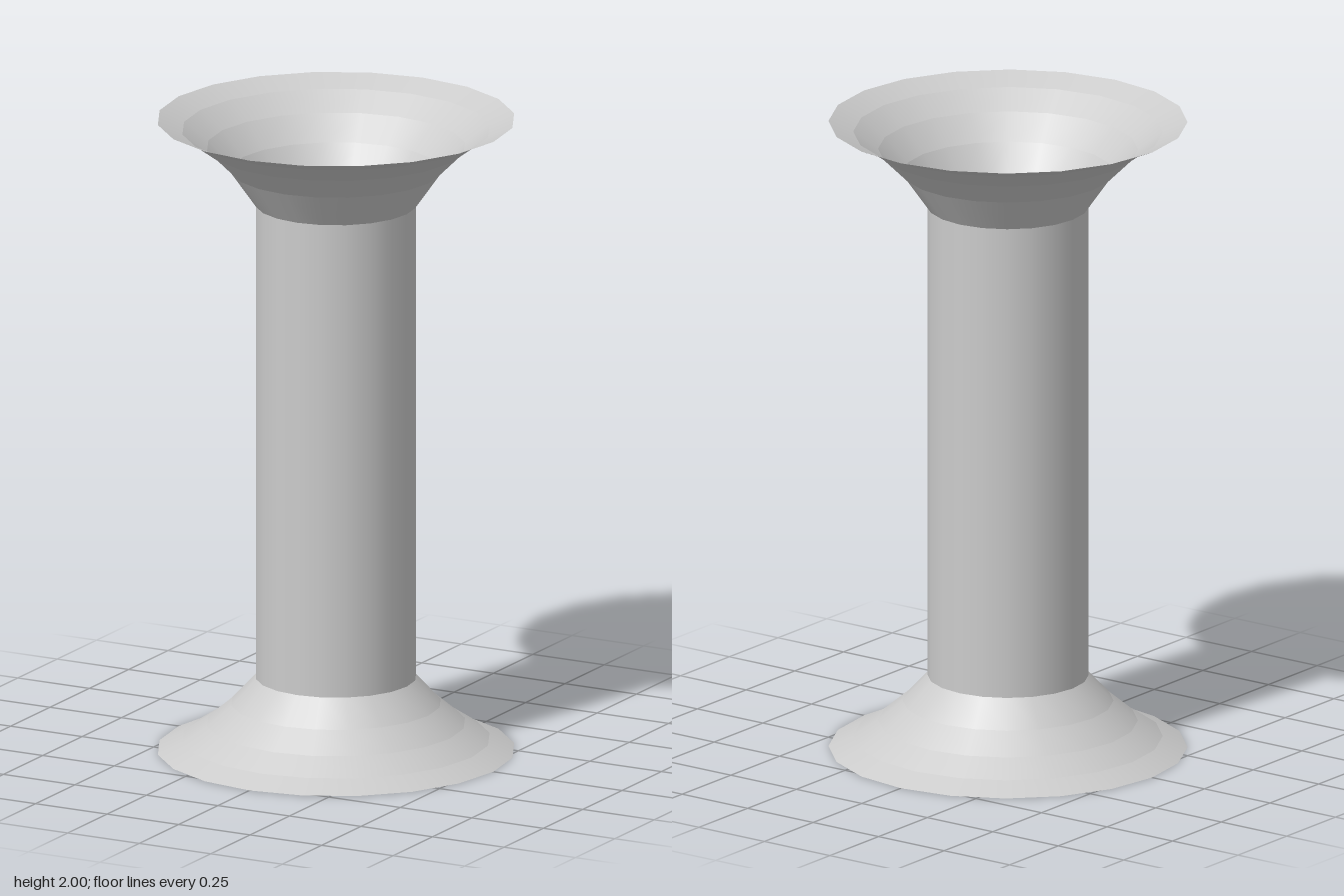
import * as THREE from 'three';
import { mergeGeometries } from 'three/addons/utils/BufferGeometryUtils.js';

const SIDES = 20;

// Thin surface of revolution: smooth around, with a crease between the rings
function turned(name, profile, material) {
  const bands = [];
  for (let i = 0; i < profile.length - 1; i++) {
    const ends = [profile[i], profile[i + 1]].map(([r, y]) => new THREE.Vector2(r, y));
    bands.push(new THREE.LatheGeometry(ends, SIDES));
  }
  const mesh = new THREE.Mesh(mergeGeometries(bands), material);
  mesh.name = name;
  return mesh;
}

export function createModel() {
  const group = new THREE.Group();
  group.name = 'flaredSpool';
  const material = new THREE.MeshStandardMaterial({ color: 0xcccccc, side: THREE.DoubleSide });

  // Lower flare, open through the middle
  group.add(turned('bottomFlare',
    [[0.55, 0], [0.474, 0.035], [0.398, 0.085], [0.323, 0.148], [0.247, 0.23]], material));

  // Hollow shaft
  group.add(turned('shaft', [[0.247, 0.23], [0.247, 1.73]], material));

  // Upper flare, slightly taller
  group.add(turned('topFlare',
    [[0.247, 1.73], [0.323, 1.838], [0.398, 1.912], [0.474, 1.967], [0.55, 2]], material));

  return group;
}
